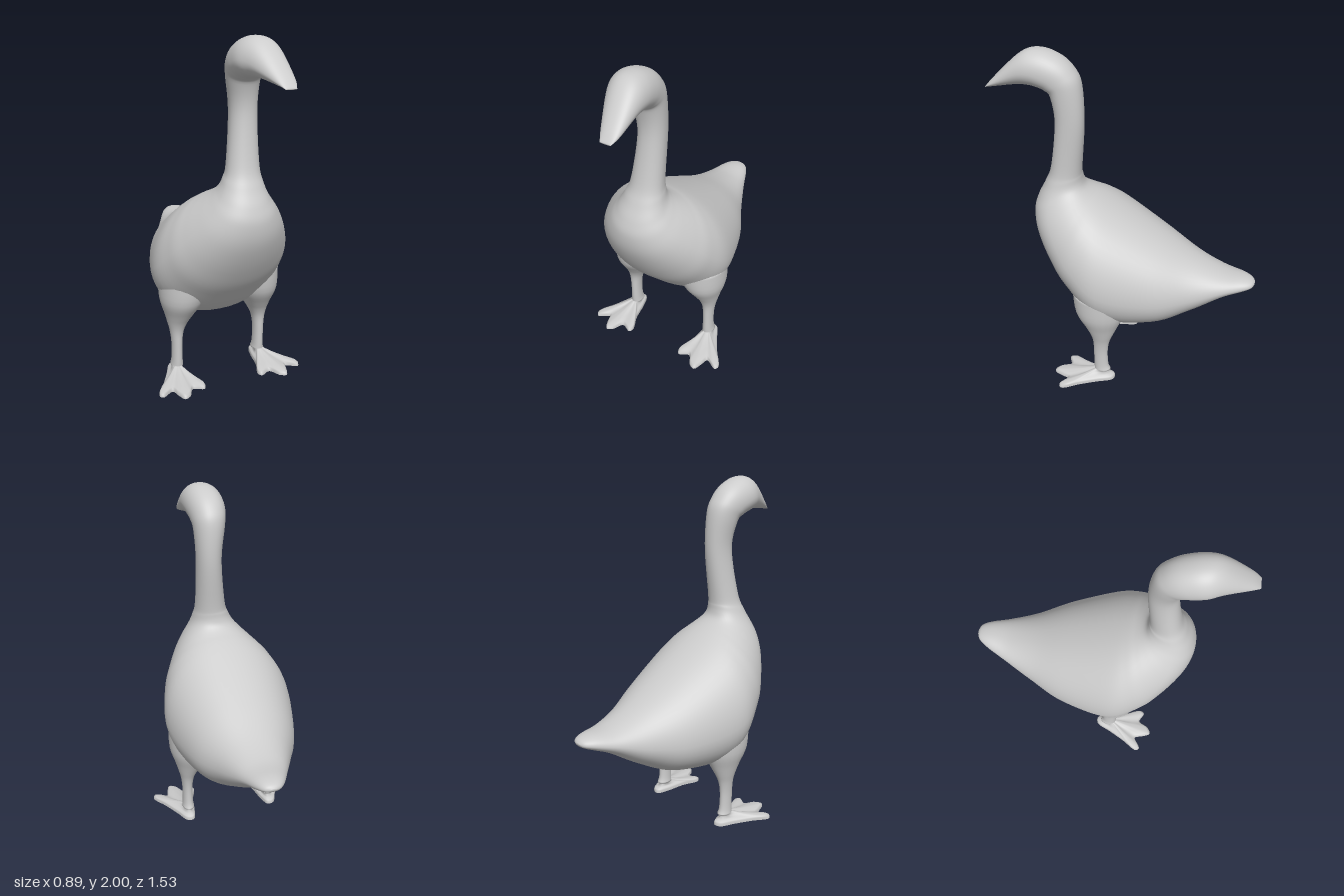
import * as THREE from 'three';

const V = (x, y, z) => new THREE.Vector3(x, y, z);
const material = new THREE.MeshStandardMaterial({ color: 0xcccccc });

// Catmull-Rom smoothing of a table of section parameters
function smooth(rows, steps) {
  const out = [];
  const at = i => rows[Math.min(Math.max(i, 0), rows.length - 1)];
  for (let i = 0; i < rows.length - 1; i++) {
    const [p, q, r, s] = [at(i - 1), at(i), at(i + 1), at(i + 2)];
    for (let k = 0; k < steps; k++) {
      const t = k / steps;
      out.push(q.map((b, j) => {
        const a = p[j], c = r[j], d = s[j];
        return b + 0.5 * t * (c - a + t * (2 * a - 5 * b + 4 * c - d + t * (3 * (b - c) + d - a)));
      }));
    }
  }
  out.push(rows[rows.length - 1]);
  return out;
}

// Skin over a list of closed rings with equal point counts
function loft(name, rings) {
  const n = rings[0].length, index = [];
  for (let i = 0; i < rings.length - 1; i++) {
    for (let j = 0; j < n; j++) {
      const a = i * n + j, b = i * n + (j + 1) % n;
      index.push(a, b, a + n, b, b + n, a + n);
    }
  }
  const geometry = new THREE.BufferGeometry().setFromPoints(rings.flat());
  geometry.setIndex(index);
  geometry.computeVertexNormals();
  const mesh = new THREE.Mesh(geometry, material);
  mesh.name = name;
  return mesh;
}

// A ring with every point at its middle, to close an end
function collapsed(ring) {
  const c = ring.reduce((s, p) => s.add(p), V(0, 0, 0)).divideScalar(ring.length);
  return ring.map(() => c.clone());
}

// Tail, trunk, neck and head: tilted sections from back line to belly line
// back z, back y, belly z, belly y, half width, centre x
const bodySections = [
  [-0.765, 0.738, -0.765, 0.728, 0.015, 0.025],
  [-0.745, 0.755, -0.75, 0.71, 0.05, 0.025],
  [-0.69, 0.768, -0.7, 0.685, 0.085, 0.02],
  [-0.56, 0.778, -0.6, 0.635, 0.135, 0.01],
  [-0.4, 0.835, -0.42, 0.51, 0.215, 0],
  [-0.2, 0.945, -0.21, 0.4, 0.315, -0.005],
  [0.06, 1.095, 0.1, 0.375, 0.388, -0.01],
  [0.15, 1.145, 0.32, 0.57, 0.352, -0.005],
  [0.2, 1.17, 0.44, 0.735, 0.295, 0],
  [0.23, 1.19, 0.525, 0.91, 0.23, 0.005],
  [0.248, 1.21, 0.547, 1.04, 0.175, 0.008],
  [0.258, 1.235, 0.525, 1.13, 0.135, 0.01],
  [0.263, 1.27, 0.48, 1.22, 0.108, 0.015],
  [0.262, 1.33, 0.437, 1.33, 0.088, 0.022],
  [0.235, 1.6, 0.397, 1.6, 0.074, 0.035],
  [0.245, 1.81, 0.417, 1.75, 0.09, 0.025],
  [0.285, 1.9, 0.45, 1.782, 0.102, 0.02],
  [0.36, 1.965, 0.49, 1.795, 0.11, 0.02],
  [0.47, 2, 0.53, 1.802, 0.11, 0.025],
  [0.57, 1.975, 0.59, 1.803, 0.092, 0.04],
  [0.71, 1.845, 0.715, 1.785, 0.054, 0.065],
  [0.765, 1.785, 0.765, 1.777, 0.03, 0.07],
];

function createBody() {
  const widest = 0.44;
  const rings = smooth(bodySections, 6).map(([bz, by, fz, fy, w, cx]) => {
    const ring = [];
    for (let j = 0; j < 48; j++) {
      const a = j / 48 * Math.PI * 2, c = Math.cos(a), s = Math.sin(a);
      const t = widest + s * (s > 0 ? 1 - widest : widest);
      const x = cx + w * Math.sign(c) * Math.abs(c) ** 0.92;
      ring.push(V(x, fy + (by - fy) * t, fz + (bz - fz) * t));
    }
    return ring;
  });
  return loft('bodyNeckAndHead', [collapsed(rings[0]), ...rings, collapsed(rings.at(-1))]);
}

// Webbed foot outline (x, z), from the heel round the inner toe to the outer toe
const footOutline = [
  [0.25, 0.01], [0.225, 0.08], [0.205, 0.2], [0.17, 0.3], [0.185, 0.325], [0.245, 0.3],
  [0.285, 0.362], [0.322, 0.378], [0.345, 0.33], [0.362, 0.28], [0.43, 0.315],
  [0.446, 0.292], [0.39, 0.2], [0.335, 0.1], [0.29, 0.015],
];

// Leg sections: y, centre x, centre z, radius x, radius z
const legSections = [
  [0.06, 0.265, 0.085, 0.037, 0.05],
  [0.1, 0.265, 0.092, 0.032, 0.044],
  [0.2, 0.265, 0.094, 0.031, 0.043],
  [0.28, 0.264, 0.09, 0.04, 0.05],
  [0.34, 0.258, 0.088, 0.06, 0.07],
  [0.4, 0.248, 0.092, 0.086, 0.1],
  [0.5, 0.232, 0.1, 0.13, 0.15],
  [0.64, 0.21, 0.1, 0.155, 0.17],
];

function createLeg(side) {
  const ankle = V(0.265, 0, 0.095);
  const curve = new THREE.CatmullRomCurve3(footOutline.map(([x, z]) => V(x, 0, z)), true);
  const outline = curve.getPoints(96).slice(0, 96);
  const footRing = (y, k) => outline.map(p => ankle.clone().lerp(p, k).setY(y));
  const legRing = ([y, cx, cz, rx, rz]) => outline.map(p => {
    const a = Math.atan2(p.z - ankle.z, p.x - ankle.x);
    return V(cx + rx * Math.cos(a), y, cz + rz * Math.sin(a));
  });
  // Mirror a ring to its side, keeping the faces outward
  const place = ring => {
    const out = ring.map(p => V(p.x * side, p.y, p.z));
    return side < 0 ? out.reverse() : out;
  };
  const legRings = smooth(legSections, 4).map(legRing);
  const rings = [footRing(0, 1), footRing(0.016, 0.99), footRing(0.024, 0.93),
    footRing(0.03, 0.7), footRing(0.042, 0.42), ...legRings, collapsed(legRings.at(-1))];
  const leg = new THREE.Group();
  leg.name = side > 0 ? 'leftLeg' : 'rightLeg';
  leg.add(loft('legAndFoot', rings.map(place)));
  leg.add(loft('footSole', [footRing(0, 0), footRing(0, 1)].map(place)));
  return leg;
}

export function createModel() {
  const model = new THREE.Group();
  model.name = 'goose';
  model.add(createBody(), createLeg(1), createLeg(-1));
  return model;
}
